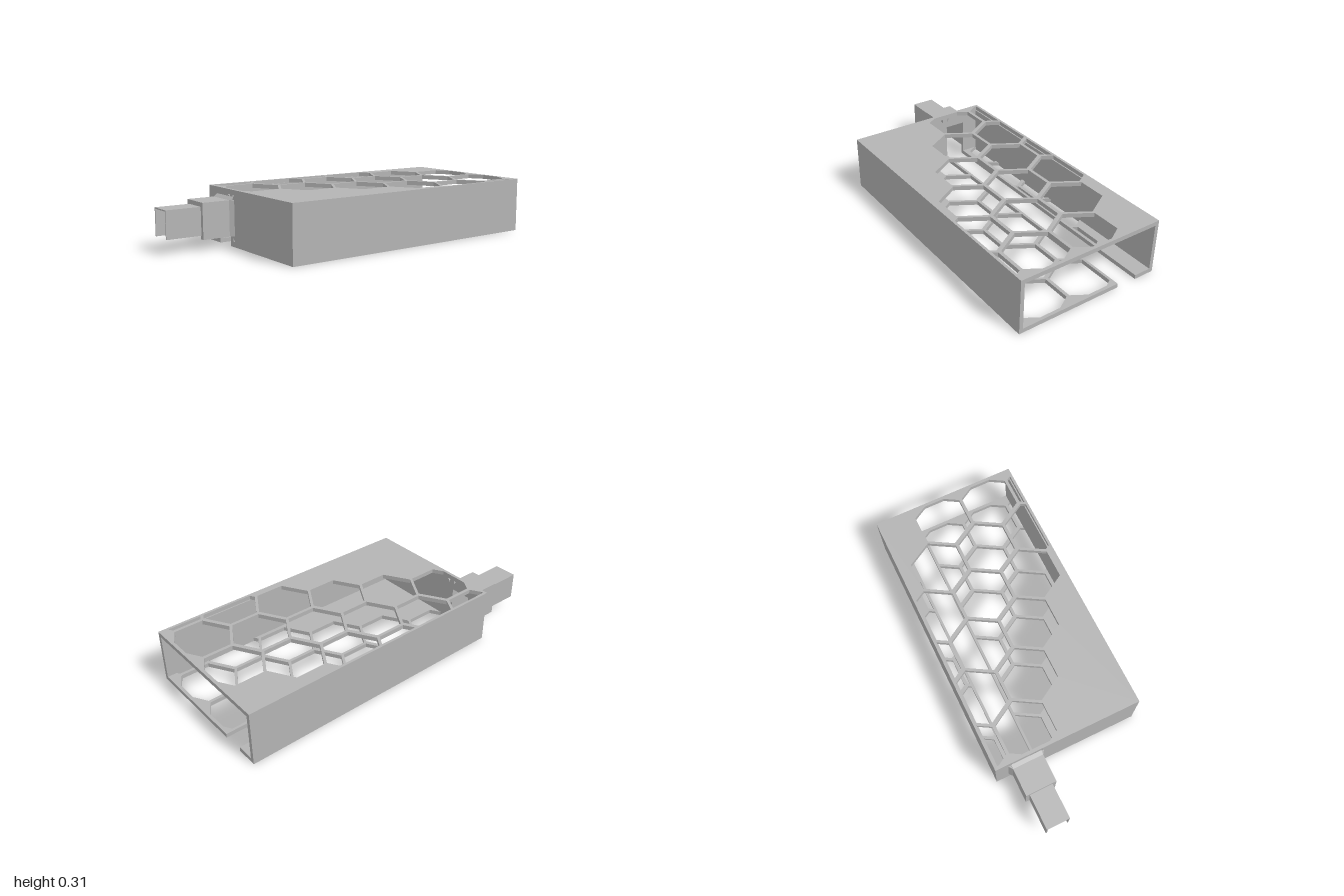
import * as THREE from 'three';

const X0 = -0.62, X1 = 1, Z = 0.43, H = 0.315, T = 0.024;
const SLOT_A = -0.31, SLOT_B = -0.188;

// Clip a convex polygon to an axis-aligned rectangle
function clip(points, xMin, xMax, zMin, zMax) {
  const sides = [[0, 1, xMin], [0, -1, -xMax], [1, 1, zMin], [1, -1, -zMax]];
  return sides.reduce((poly, [axis, sign, limit]) => {
    const out = [];
    poly.forEach((p, i) => {
      const q = poly[(i + 1) % poly.length];
      const a = p[axis] * sign - limit, b = q[axis] * sign - limit;
      if (a >= 0) out.push(p);
      if (a * b < 0) {
        const t = a / (a - b);
        out.push([p[0] + (q[0] - p[0]) * t, p[1] + (q[1] - p[1]) * t]);
      }
    });
    return out;
  }, points);
}

// Diagonal band of hexagons, six columns of three
function honeycomb() {
  const cells = [];
  for (let k = -2; k <= 3; k++) {
    for (let j = 0; j < 3; j++) {
      const cx = 0.05 + 0.267 * k, cz = 0.102 + 0.143 * k - 0.3 * j;
      cells.push([[1, 0], [0.5, 1], [-0.5, 1], [-1, 0], [-0.5, -1], [0.5, -1]]
        .map(([u, v]) => [cx + u * 0.167, cz + v * 0.141]));
    }
  }
  return cells;
}

const toPoints = (list) => list.map(([a, b]) => new THREE.Vector2(a, b));
const extrude = (shape, depth) => new THREE.ExtrudeGeometry(shape, { depth, bevelEnabled: false });

// Horizontal panel with hexagon cut-outs kept inside a margin
function panel(zMin, zMax, y, holeMin, holeMax) {
  const shape = new THREE.Shape(toPoints([[X0, -zMax], [X1, -zMax], [X1, -zMin], [X0, -zMin]]));
  for (const cell of honeycomb()) {
    const hole = clip(cell, X0 + 0.018, X1 - 0.018, holeMin, holeMax);
    if (hole.length > 2) shape.holes.push(new THREE.Path(toPoints(hole.map(([x, z]) => [x, -z]))));
  }
  return extrude(shape, T).rotateX(-Math.PI / 2).translate(0, y, 0);
}

// Profile drawn in (z, y), extruded along x from xMin to xMax
function alongX(profile, xMin, xMax, holes = []) {
  const shape = new THREE.Shape(toPoints(profile));
  holes.forEach((h) => shape.holes.push(new THREE.Path(toPoints(h))));
  return extrude(shape, xMax - xMin).rotateY(-Math.PI / 2).translate(xMax, 0, 0);
}

// Upside-down U channel profile
const channel = (zMin, zMax, bottom, top) => [
  [zMin, bottom], [SLOT_A, bottom], [SLOT_A, 0.229], [SLOT_B, 0.229],
  [SLOT_B, bottom], [zMax, bottom], [zMax, top], [zMin, top],
];

export function createModel() {
  const model = new THREE.Group();
  model.name = 'slottedSleeve';
  const grey = new THREE.MeshStandardMaterial({ color: 0xb4b4b4 });
  grey.name = 'grey';
  const add = (name, geometry) => {
    const mesh = new THREE.Mesh(geometry, grey);
    mesh.name = name;
    model.add(mesh);
  };

  // Top and the two floor panels either side of the slot
  add('topPanel', panel(-Z, Z, H - T, -0.415, 0.415));
  add('floorFront', panel(SLOT_B, Z, 0, SLOT_B + 0.015, 0.415));
  add('floorBack', panel(-Z, SLOT_A, 0, -0.415, SLOT_A - 0.015));

  // Long side walls
  for (const s of [1, -1]) {
    add(s > 0 ? 'frontWall' : 'backWall',
      new THREE.BoxGeometry(X1 - X0, H - 2 * T, 0.022)
        .translate((X0 + X1) / 2, H / 2, s * (Z - 0.011)));
  }

  // End wall with the slot notch and small corner openings
  const notch = [[-Z, 0], [SLOT_A, 0], [SLOT_A, 0.229], [SLOT_B, 0.229], [SLOT_B, 0],
    [Z, 0], [Z, H], [-Z, H]];
  add('endWall', alongX(notch, X0, X0 + 0.018, [
    [[-0.145, 0.288], [-0.16, 0.288], [-0.16, 0.265]],
    [[-0.207, 0.288], [-0.192, 0.288], [-0.192, 0.265]],
    [[-0.145, 0.03], [-0.16, 0.05], [-0.16, 0.03]],
  ]));

  // Stepped spout
  add('collar', alongX(channel(-0.338, -0.16, 0.06, 0.26), -0.8, X0));
  add('spoutTip', alongX(channel(-0.317, -0.182, 0.08, 0.236), -1, -0.8));

  // Flares where the collar meets the end wall
  const wedge = (a, b) => new THREE.Shape(toPoints([[X0, a], [X0, b], [X0 - 0.022, a]]));
  add('flareTop', extrude(wedge(0.26, 0.277), 0.178).translate(0, 0, -0.338));
  for (const [a, b] of [[-0.16, -0.143], [-0.338, -0.355]]) {
    add('flareSide', extrude(wedge(-a, -b), 0.2).rotateX(-Math.PI / 2).translate(0, 0.06, 0));
  }
  return model;
}
